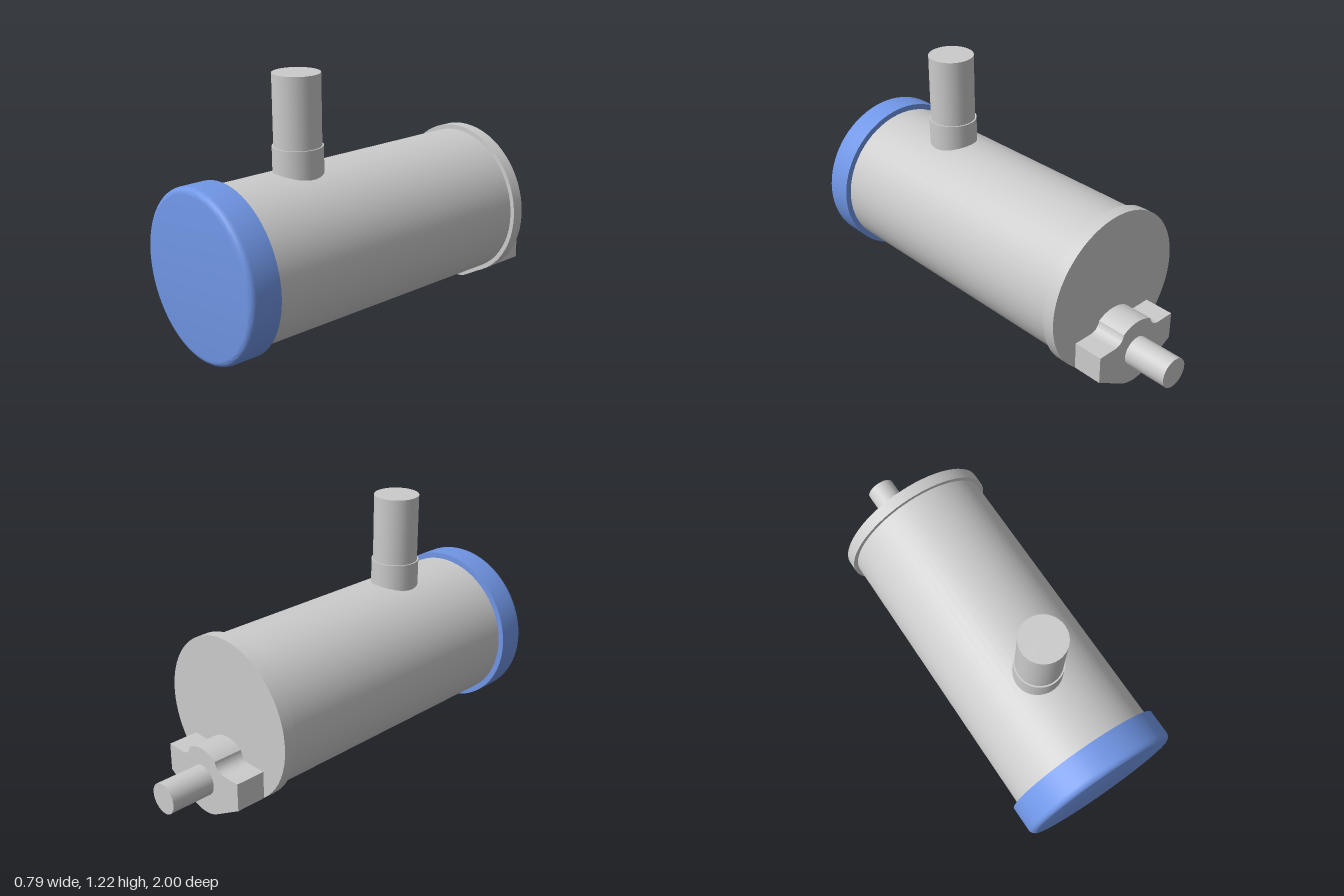
import * as THREE from 'three';
import { toCreasedNormals } from 'three/addons/utils/BufferGeometryUtils.js';

const AXIS_Y = 0.42; // height of the main barrel axis
const PORT_Y = 0.165; // height of the rear port axis

export function createModel() {
  const model = new THREE.Group();
  const grey = new THREE.MeshStandardMaterial({ color: 0xcccccc });
  const blue = new THREE.MeshStandardMaterial({ color: 0x7096e6 });

  const add = (name, geometry, material = grey) => {
    const mesh = new THREE.Mesh(geometry, material);
    mesh.name = name;
    model.add(mesh);
    return mesh;
  };

  // Cylinder lying along z between two depths
  const rodZ = (name, radius, z0, z1, y, segments = 64) => {
    const geometry = new THREE.CylinderGeometry(radius, radius, z1 - z0, segments);
    geometry.rotateX(Math.PI / 2);
    add(name, geometry).position.set(0, y, (z0 + z1) / 2);
  };

  // Upright cylinder on the barrel
  const rodY = (name, radius, y0, y1, z) => {
    const geometry = new THREE.CylinderGeometry(radius, radius, y1 - y0, 40);
    add(name, geometry).position.set(0, (y0 + y1) / 2, z);
  };

  // Barrel and rear end plate
  rodZ('barrel', 0.365, -0.6, 0.9, AXIS_Y);
  rodZ('endPlate', 0.387, -0.635, -0.577, AXIS_Y);

  // Front cap with a rounded rim
  const capRadius = 0.393, round = 0.03, depth = 0.15;
  const profile = [new THREE.Vector2(0, 0), new THREE.Vector2(capRadius, 0)];
  for (let i = 0; i <= 6; i++) {
    const a = (i / 6) * Math.PI / 2;
    profile.push(new THREE.Vector2(
      capRadius - round + round * Math.cos(a),
      depth - round + round * Math.sin(a)));
  }
  profile.push(new THREE.Vector2(0, depth));
  const cap = toCreasedNormals(new THREE.LatheGeometry(profile, 72), 0.6);
  cap.rotateX(Math.PI / 2);
  add('frontCap', cap, blue).position.set(0, AXIS_Y, 1 - depth);

  // Top pipe and its collar
  rodY('topPipeCollar', 0.115, 0.7, 0.9, 0.447);
  rodY('topPipe', 0.108, 0.88, 1.225, 0.447);

  // Rear port flange: domed centre, two side ears, tapered rounded bottom
  const outline = new THREE.Shape();
  const dome = Math.asin(0.09 / 0.16);
  outline.moveTo(0.24, 0.115);
  outline.lineTo(0.24, 0.25);
  outline.lineTo(0.16, 0.25);
  outline.quadraticCurveTo(0.1, 0.245, 0.09, 0.297);
  outline.absarc(0, PORT_Y, 0.16, Math.PI / 2 - dome, Math.PI / 2 + dome, false);
  outline.quadraticCurveTo(-0.1, 0.245, -0.16, 0.25);
  outline.lineTo(-0.24, 0.25);
  outline.lineTo(-0.24, 0.115);
  outline.lineTo(-0.085, 0.023);
  outline.bezierCurveTo(-0.035, -0.007, 0.035, -0.007, 0.085, 0.023);
  outline.closePath();
  const flange = new THREE.ExtrudeGeometry(outline, {
    depth: 0.204, bevelEnabled: false, curveSegments: 14,
  });
  add('portFlange', toCreasedNormals(flange, 0.5)).position.z = -0.782;

  // Rear port pipe
  rodZ('portPipe', 0.073, -1, -0.76, PORT_Y, 32);

  return model;
}
